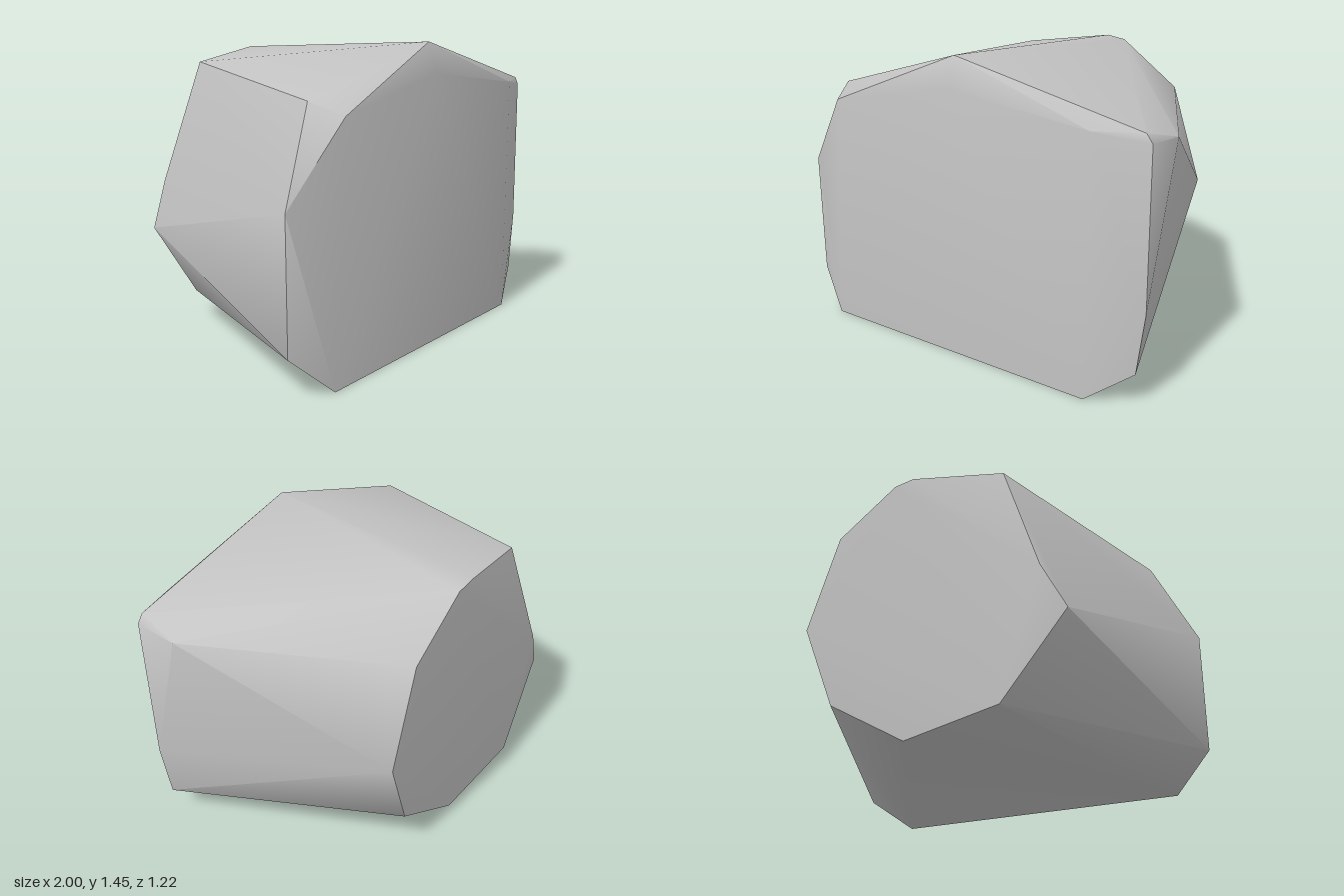
import * as THREE from 'three';
import { ConvexGeometry } from 'three/addons/geometries/ConvexGeometry.js';
import { toCreasedNormals } from 'three/addons/utils/BufferGeometryUtils.js';

export function createModel() {
  const stone = new THREE.MeshStandardMaterial({ color: 0xc3c3c3 });
  stone.name = 'light grey stone';

  // Corners of the chipped boulder, from the front face to the back face
  const corners = [
    // flat front face
    [-0.79, 0, 0.612], [0.74, 0, 0.612], [0.75, 1.22, 0.612], [0, 1.3, 0.612], [-0.72, 1.16, 0.612],
    // rim just behind the front face
    [-1, 0.79, 0.52], [-0.99, 0.18, 0.52], [0.96, 0.16, 0.54], [1, 0.45, 0.54],
    [1, 1.19, 0.54], [0.97, 1.23, 0.54], [0, 1.445, 0.565], [-0.79, 1.22, 0.47],
    // right shoulder
    [1, 1.175, 0.32],
    // rim of the smaller back face
    [-0.38, 1.335, -0.545], [0.08, 1.4, -0.612], [0.18, 1.385, -0.612], [0.49, 1.165, -0.612],
    [0.65, 0.69, -0.612], [0.5, 0.285, -0.58], [0.1, 0.05, -0.58], [-0.38, 0.13, -0.612],
    [-0.69, 0.53, -0.58], [-0.58, 0.75, -0.612],
  ].map((p) => new THREE.Vector3(...p));

  // Soft shading over shallow bends, sharp along the chipped edges
  const geometry = toCreasedNormals(new ConvexGeometry(corners), THREE.MathUtils.degToRad(40));
  const boulder = new THREE.Mesh(geometry, stone);
  boulder.name = 'boulder';

  const group = new THREE.Group();
  group.name = 'rock';
  group.add(boulder);
  return group;
}
